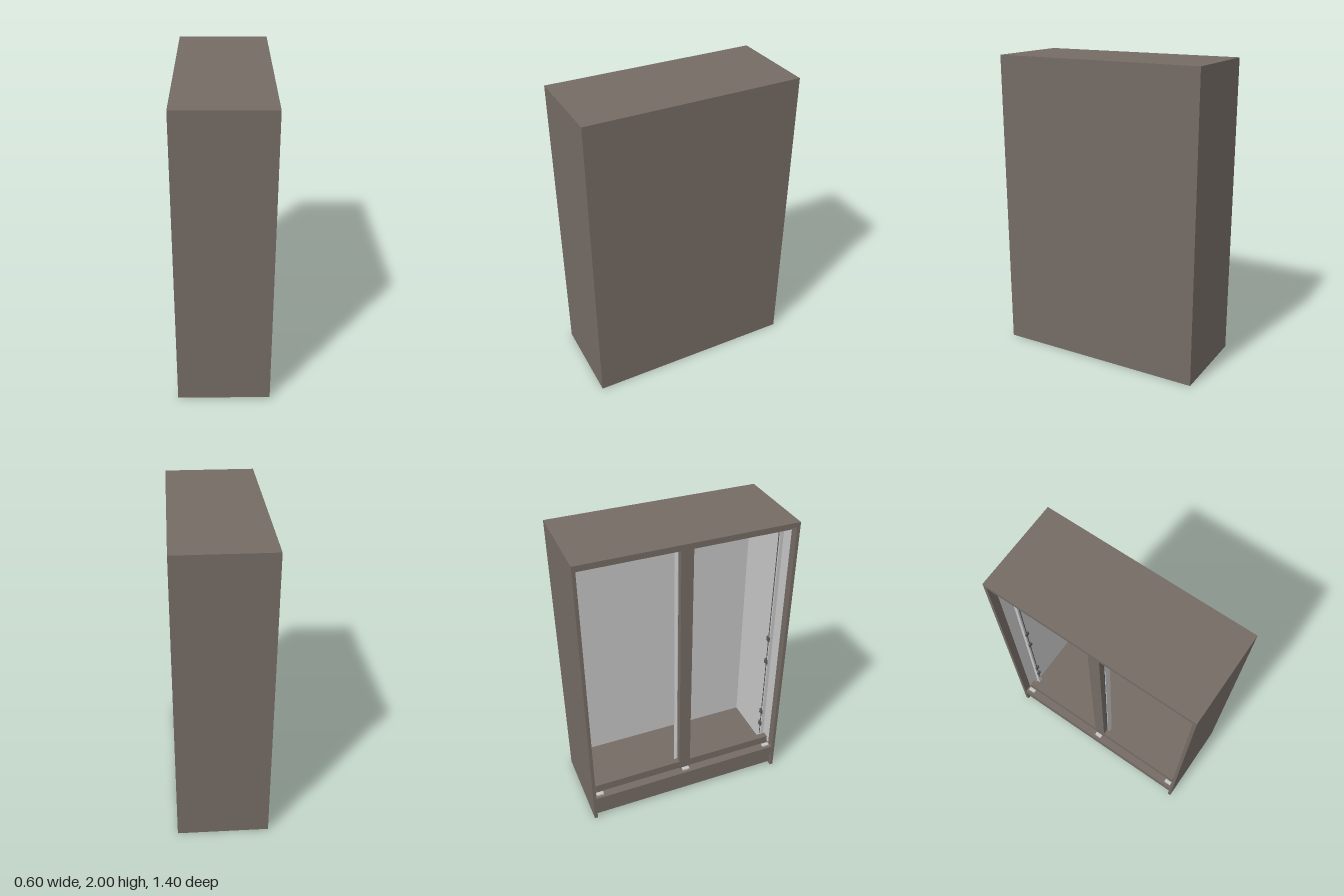
import * as THREE from 'three';

const mat = (name, color) => {
  const m = new THREE.MeshStandardMaterial({ color });
  m.name = name;
  return m;
};

export function createModel() {
  const model = new THREE.Group();
  const brown = mat('brown casing', 0x746b64);
  const grey = mat('light grey lining', 0xc6c6c6);
  const white = mat('pale bottom rim', 0xf0f0ee);
  const under = mat('dark brown underside', 0x59534e);
  const metal = mat('dark grey metal', 0x5a5a5a);

  // Box given by its lower and upper limits on each axis
  const box = (name, material, [x0, x1], [y0, y1], [z0, z1]) => {
    const mesh = new THREE.Mesh(new THREE.BoxGeometry(x1 - x0, y1 - y0, z1 - z0), material);
    mesh.position.set((x0 + x1) / 2, (y0 + y1) / 2, (z0 + z1) / 2);
    mesh.name = name;
    model.add(mesh);
  };
  // The same box at both ends of the cabinet
  const pair = (name, material, x, y, [z0, z1]) => {
    box(name + 'Left', material, x, y, [z0, z1]);
    box(name + 'Right', material, x, y, [-z1, -z0]);
  };

  const X = 0.3, Z = 0.7, H = 2;
  const skin = 0.008, inner = 0.022; // casing thickness, lining depth
  const recess = -0.245;             // plane of the door frame
  const base = 0.082;                // top of the hollow base

  // Outer casing, open towards -x
  box('casingBack', brown, [X - skin, X], [0, H], [-Z, Z]);
  box('casingTop', brown, [-X, X - skin], [H - skin, H], [-Z, Z]);
  pair('casingEnd', brown, [-X, X - skin], [0, H - skin], [Z - skin, Z]);

  // Light lining
  box('liningBack', grey, [X - inner, X - skin], [base, H - skin], [-Z + skin, Z - skin]);
  box('liningTop', grey, [recess, X - inner], [H - inner, H - skin], [-Z + skin, Z - skin]);
  pair('liningEnd', grey, [recess, X - inner], [base, H - inner], [Z - inner, Z - skin]);

  // Lining skirt around the hollow base, with a pale lower rim
  const rim = 0.004;
  box('skirtBack', grey, [0.262, X - skin], [rim, base], [-Z + skin, Z - skin]);
  pair('skirtEnd', grey, [recess, 0.262], [rim, base], [0.668, Z - skin]);
  box('rimBack', white, [0.262, X - skin], [0, rim], [-Z + skin, Z - skin]);
  pair('rimEnd', white, [recess, 0.262], [0, rim], [0.668, Z - skin]);

  // Brown lip around the opening
  pair('openingLip', brown, [-X, recess], [0, H - skin], [Z - inner, Z - skin]);
  box('openingLipTop', brown, [-X, recess], [H - 0.03, H - skin], [-Z + inner, Z - inner]);

  // Floor with its dark underside
  const zIn = [-Z + inner, Z - inner];
  box('floor', brown, [recess, X - inner], [0.09, 0.105], zIn);
  box('floorUnderside', under, [recess, X - inner], [base, 0.09], zIn);

  // Plinth: kick plate, upper panel and door sill
  box('kickPlate', brown, [-0.28, -0.268], [0.02, 0.105], zIn);
  box('plinthPanel', brown, [-0.295, -0.275], [0.105, 0.18], zIn);
  box('sill', brown, [-0.275, -0.2], [0.165, 0.18], zIn);
  box('sillBack', brown, [-0.215, -0.2], [0.105, 0.165], zIn);

  // Small light stops on the sill
  for (const z of [-0.64, 0, 0.64]) {
    box('sillStop', grey, [-0.275, -0.25], [0.18, 0.192], [z - 0.025, z + 0.025]);
  }

  // Door frame: bottom rail in two halves, top rail, centre post
  pair('bottomRail', brown, [recess, -0.205], [0.19, 0.25], [0.04, 0.66]);
  box('topRail', brown, [recess, -0.205], [1.93, H - inner], zIn);
  box('centrePost', brown, [recess, -0.205], [0.18, 1.95], [-0.04, 0.04]);

  // Light inner post behind the centre post, with a dark joint
  box('centreJoint', metal, [-0.205, -0.192], [0.105, H - inner], [-0.035, 0.035]);
  box('innerPost', grey, [-0.192, -0.145], [0.105, H - inner], [-0.04, 0.04]);

  // Slotted shelf uprights on the end walls, with shelf clips
  pair('shelfUpright', grey, [-0.16, -0.13], [0.105, 1.95], [0.655, Z - inner]);
  pair('uprightSlot', metal, [-0.148, -0.142], [0.2, 1.9], [0.652, 0.655]);
  for (const y of [0.285, 0.4, 0.86, 1.05]) {
    pair('shelfClip', metal, [-0.16, -0.13], [y, y + 0.035], [0.645, 0.655]);
  }
  return model;
}
